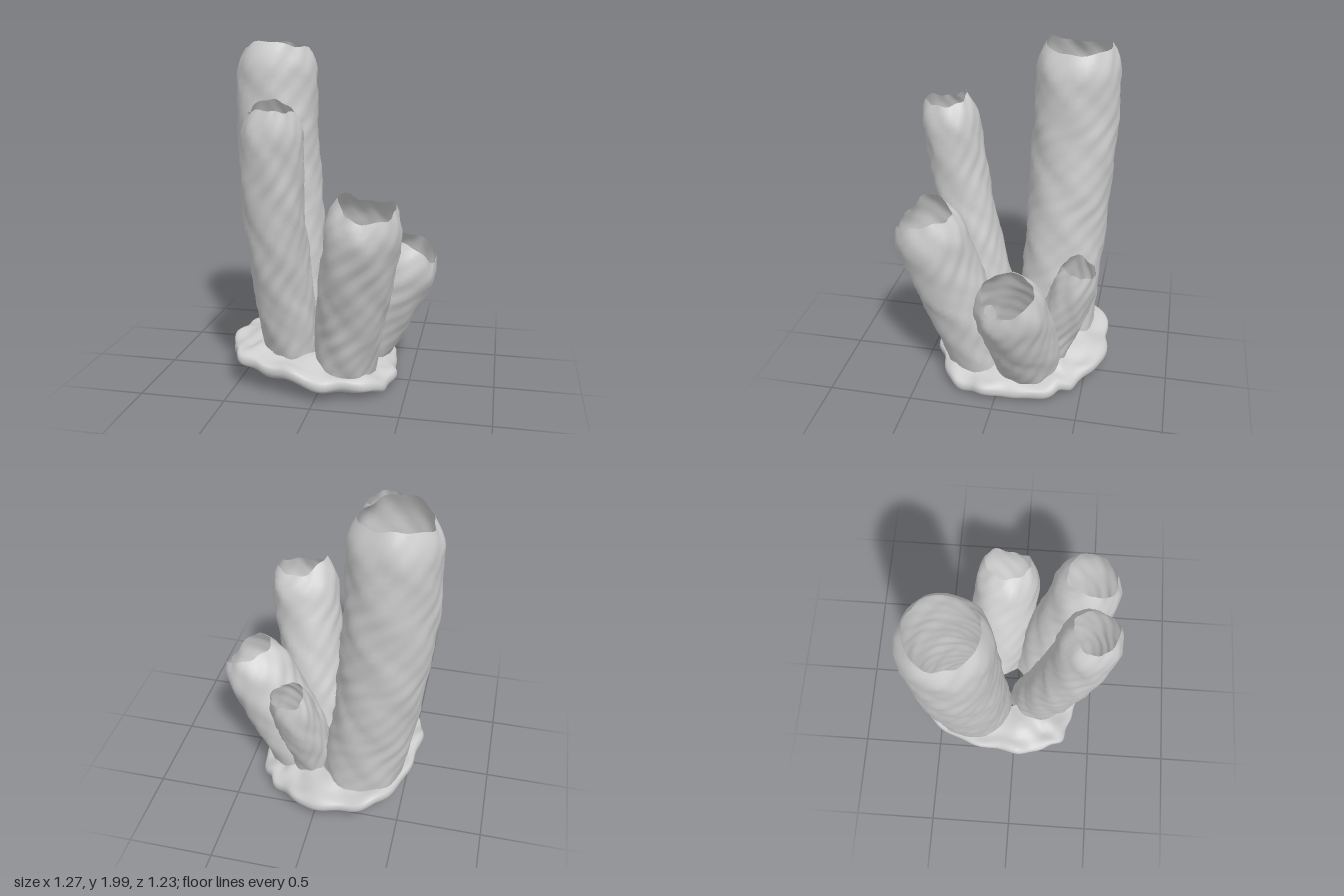
import * as THREE from 'three';
import { mergeVertices } from 'three/addons/utils/BufferGeometryUtils.js';

const material = new THREE.MeshStandardMaterial({ color: 0xcccccc, side: THREE.DoubleSide });
const V = (x, y, z) => new THREE.Vector3(x, y, z);
const slope = x => 0.12 - 0.155 * x; // height of the sloping base

// Smooth repeatable lumps, roughly -1..1, from angle round the tube and height
function lumps(angle, y, seed) {
  return 0.4 * Math.sin(angle * 3 + y * 8 + seed) +
    0.4 * Math.sin(angle * 5 - y * 17 + seed * 2.3) +
    0.35 * Math.sin(angle * 8 + 4 * Math.sin(y * 13 + seed)) +
    0.25 * Math.sin(angle * 11 + y * 41 + seed * 3.1);
}

// Weld the seam so the shading is smooth all round
function finish(geometry, name) {
  geometry.deleteAttribute('uv');
  geometry.deleteAttribute('normal');
  const welded = mergeVertices(geometry, 1e-5);
  welded.computeVertexNormals();
  const mesh = new THREE.Mesh(welded, material);
  mesh.name = name;
  return mesh;
}

// Hollow open tube along a bent axis; radii run evenly from foot to shoulder, then the lip
function makeTube({ name, axis, radii, lip, seed, phase, ragged }) {
  const curve = new THREE.CatmullRomCurve3(axis.map(a => V(...a)));
  const length = curve.getLength();
  const shoulder = 1 - 0.17 / length;
  const radiusAt = t => {
    if (t > shoulder) {
      const k = (t - shoulder) / (1 - shoulder);
      return THREE.MathUtils.lerp(radii[radii.length - 1], lip, k * k);
    }
    const f = t / shoulder * (radii.length - 1);
    const i = Math.min(Math.floor(f), radii.length - 2);
    return THREE.MathUtils.lerp(radii[i], radii[i + 1], f - i);
  };
  const geometry = new THREE.CylinderGeometry(1, 1, 1, 40, Math.ceil(length * 28), true);
  const pos = geometry.attributes.position;
  const p = V(0, 0, 0);
  for (let i = 0; i < pos.count; i++) {
    p.fromBufferAttribute(pos, i);
    const t = THREE.MathUtils.clamp(p.y + 0.5, 0, 1);
    const angle = Math.atan2(p.z, p.x);
    const tangent = curve.getTangentAt(t);
    const turn = new THREE.Quaternion().setFromUnitVectors(V(0, 1, 0), tangent);
    const out = V(p.x, 0, p.z).applyQuaternion(turn);
    const point = curve.getPointAt(t);
    point.addScaledVector(out, radiusAt(t) + 0.009 * lumps(angle, t * length, seed));
    // Uneven rim
    const rim = Math.max(0, (t - shoulder) / (1 - shoulder));
    const wave = Math.sin(angle * 2 + phase) + 0.35 * Math.sin(angle * 3 + seed * 2) + 0.25 * Math.sin(angle * 7);
    point.addScaledVector(tangent, ragged * rim * wave);
    // Foot cut off along the base
    point.y = Math.max(point.y, slope(point.x) - 0.01);
    pos.setXYZ(i, point.x, point.y, point.z);
  }
  return finish(geometry, name);
}

// Sloping holdfast: a rolled, wavy lip swept round an irregular outline
function makeBase() {
  const outline = new THREE.CatmullRomCurve3([
    [-0.57, 0], [-0.53, 0.2], [-0.44, 0.33], [-0.25, 0.38], [-0.04, 0.44], [0.18, 0.38],
    [0.36, 0.27], [0.42, 0.1], [0.41, -0.12], [0.36, -0.35], [0.25, -0.46], [0.08, -0.59],
    [-0.18, -0.62], [-0.4, -0.54], [-0.52, -0.28]
  ].map(([x, z]) => V(x, 0, z)), true);
  const section = new THREE.CatmullRomCurve3([
    [0.38, 0.1], [0.65, 0.09], [0.82, 0.05], [0.93, 0.04], [0.99, 0.018], [0.99, -0.018],
    [0.93, -0.045], [0.84, -0.035], [0.76, 0.01], [0.74, 0.06]
  ].map(([s, h]) => V(s, h, 0)));
  const around = 120, across = 24;
  const geometry = new THREE.PlaneGeometry(1, 1, around, across);
  const pos = geometry.attributes.position;
  for (let j = 0; j <= across; j++) {
    const { x: s, y: h } = section.getPoint(j / across);
    for (let i = 0; i <= around; i++) {
      const u = (i % around) / around;
      const edge = outline.getPoint(u);
      const a = u * Math.PI * 2;
      const grow = s * (1 + 0.014 * Math.sin(a * 11) + 0.012 * Math.sin(a * 17 + 1));
      const x = -0.08 + (edge.x + 0.08) * grow;
      const z = -0.08 + (edge.z + 0.08) * grow;
      const wave = 0.009 * Math.sin(a * 8 + s * 9) + 0.007 * Math.sin(a * 13 + 2 - s * 14);
      pos.setXYZ(j * (around + 1) + i, x, slope(x) + h + wave * s, z);
    }
  }
  return finish(geometry, 'base');
}

const tubes = [
  { name: 'tallTube', axis: [[-0.235, 0.14, -0.27], [-0.33, 0.8, -0.3], [-0.38, 1.4, -0.33], [-0.39, 1.97, -0.34]],
    radii: [0.24, 0.24, 0.245, 0.25, 0.25, 0.245], lip: 0.19, seed: 1, phase: -1.57, ragged: 0.02 },
  { name: 'frontRightTube', axis: [[-0.175, 0.14, 0.11], [-0.215, 0.6, 0.22], [-0.235, 1.1, 0.33], [-0.225, 1.66, 0.405]],
    radii: [0.155, 0.165, 0.17, 0.17, 0.17], lip: 0.12, seed: 4, phase: -1.2, ragged: 0.02 },
  { name: 'frontLeftTube', axis: [[0.125, 0.09, 0.14], [0.18, 0.45, 0.23], [0.245, 0.85, 0.35], [0.3, 1.15, 0.42]],
    radii: [0.18, 0.195, 0.205, 0.21], lip: 0.155, seed: 2, phase: 1.57, ragged: 0.028 },
  { name: 'leftTube', axis: [[0.135, 0.09, -0.165], [0.26, 0.35, -0.14], [0.405, 0.62, -0.11], [0.51, 0.82, -0.1]],
    radii: [0.185, 0.205, 0.21, 0.205], lip: 0.148, seed: 5, phase: 4.2, ragged: 0.02 },
  { name: 'backTube', axis: [[0.06, 0.1, -0.26], [0.085, 0.35, -0.32], [0.13, 0.6, -0.4], [0.165, 0.83, -0.46]],
    radii: [0.105, 0.12, 0.13, 0.125], lip: 0.095, seed: 3, phase: 2.5, ragged: 0.016 }
];

export function createModel() {
  const group = new THREE.Group();
  group.name = 'tubeSponge';
  group.add(makeBase());
  for (const tube of tubes) group.add(makeTube(tube));

  // Floor deep inside the tall tube
  const floor = new THREE.Mesh(new THREE.CircleGeometry(0.22, 32), material);
  floor.name = 'tallTubeFloor';
  floor.rotation.x = -Math.PI / 2;
  floor.position.set(-0.27, 0.3, -0.28);
  group.add(floor);
  return group;
}
